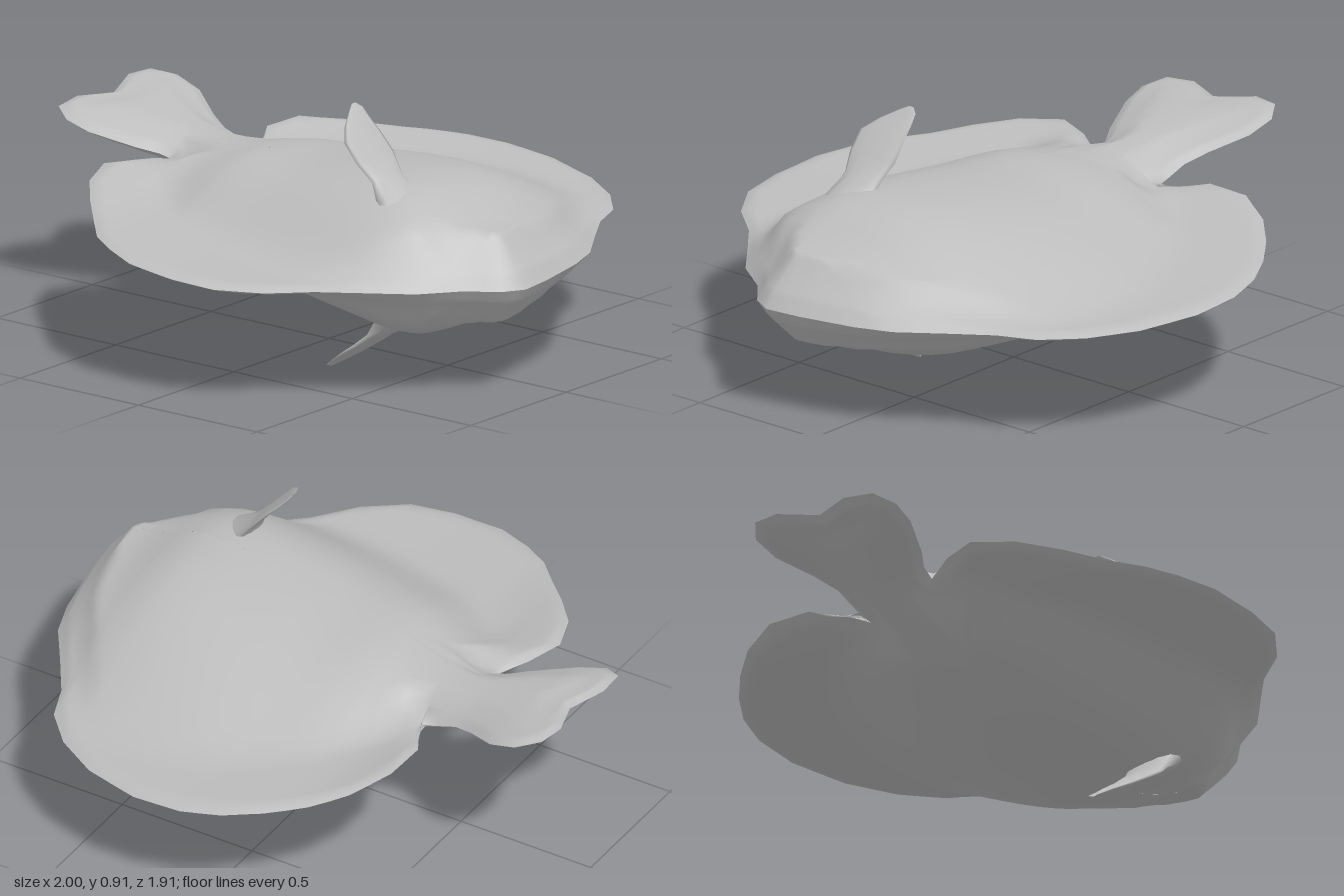
import * as THREE from 'three';

const skin = new THREE.MeshStandardMaterial({ color: 0xbdbdbd, side: THREE.DoubleSide });
skin.name = 'grey skin';

// Body outline as [x, z]: rear of the left lobe, round the mouth, to the rear of the other lobe
const rim = [
  [-.62, .23], [-.665, .355], [-.61, .5], [-.51, .62], [-.32, .82], [-.22, .88], [-.09, .935],
  [.1, .95], [.26, .93], [.4, .84], [.51, .71], [.62, .62], [.77, .5], [.86, .37], [.96, .285],
  [1, .21], [.985, .08], [.965, -.02], [.945, -.12], [.9, -.25], [.8, -.4], [.71, -.54],
  [.66, -.67], [.55, -.79], [.39, -.89], [.18, -.955], [0, -.96], [-.14, -.925], [-.26, -.86],
  [-.38, -.77], [-.48, -.67], [-.555, -.53], [-.56, -.37],
];
const tail = [
  [-.47, -.21], [-.61, -.215], [-.69, -.25], [-.81, -.325], [-.91, -.335], [-.985, -.285],
  [-1, -.19], [-.95, -.05], [-1, .08], [-.99, .19], [-.92, .235], [-.83, .23], [-.68, .17],
  [-.61, .13], [-.55, .12],
];

// Profiles along the fish, as [x, value]
const midKeys = [[-1, .67], [-.8, .61], [-.6, .55], [-.4, .49], [-.2, .465], [0, .445], [.4, .42], [1, .4]];
const topKeys = [[-1, .005], [-.8, .03], [-.6, .055], [-.4, .1], [-.2, .155], [0, .18], [.2, .215],
  [.45, .245], [.6, .235], [.78, .165], [.9, .145], [1, .14]];
const bottomKeys = [[-1, .005], [-.8, .03], [-.6, .05], [-.4, .08], [-.3, .11], [-.1, .15], [.1, .18],
  [.4, .205], [.6, .215], [.8, .135], [1, .13]];
const leftWidth = [[-1, .4], [-.5, .32], [-.2, .48], [.2, .56], [.6, .55], [1, .48]];
const rightWidth = [[-1, .45], [-.5, .36], [-.2, .65], [.2, .88], [.6, .85], [1, .65]];

// Smooth curve through the keys
function sample(keys, x) {
  const last = keys.length - 1;
  const slope = i => {
    const a = keys[Math.max(0, i - 1)], b = keys[Math.min(last, i + 1)];
    return (b[1] - a[1]) / (b[0] - a[0]);
  };
  let i = 0;
  while (i < last - 1 && x > keys[i + 1][0]) i++;
  const [x0, v0] = keys[i], [x1, v1] = keys[i + 1];
  const w = x1 - x0, t = clamp((x - x0) / w, 0, 1), s = 1 - t;
  return v0 * s * s * (1 + 2 * t) + v1 * t * t * (3 - 2 * t) + w * t * s * (slope(i) * s - slope(i + 1) * t);
}

const clamp = THREE.MathUtils.clamp, lerp = THREE.MathUtils.lerp;
const spineZ = x => .09 + .11 * x;

// Each outline point is paired with the point of the spine it leads to
const loop = [
  ...rim.map(([x, z]) => [x, z, clamp(x, -.25, .85)]),
  ...tail.map(([x, z]) => [x, z, clamp(x, -.85, -.4)]),
];

function edgeDistance(x, z) {
  let best = Infinity;
  loop.forEach(([ax, az], i) => {
    const [bx, bz] = loop[(i + 1) % loop.length];
    const dx = bx - ax, dz = bz - az;
    const t = clamp(((x - ax) * dx + (z - az) * dz) / (dx * dx + dz * dz), 0, 1);
    best = Math.min(best, Math.hypot(x - ax - t * dx, z - az - t * dz));
  });
  return best;
}

// Height of the upper (+1) or lower (-1) flank: plump along the spine, thin in the fins
function flankHeight(x, z, side) {
  const off = z - spineZ(x), d = edgeDistance(x, z);
  const u = Math.min(1, Math.abs(off) / sample(off > 0 ? leftWidth : rightWidth, x));
  const plump = Math.pow(1 - Math.pow(u, 2.5), 2) * Math.min(1, d / .12);
  const fringe = .015 * Math.min(1, d / .03);
  const twist = -.05 * z * clamp((-.5 - x) / .3, 0, 1);
  return sample(midKeys, x) + twist + side * (sample(side > 0 ? topKeys : bottomKeys, x) * plump + fringe);
}

// One flank: rings shrinking from the outline to the spine
function flank(side) {
  const outline = [];
  loop.forEach((a, i) => {
    const b = loop[(i + 1) % loop.length];
    for (const t of [0, .5]) outline.push(a.map((v, k) => lerp(v, b[k], t)));
  });
  const rings = 20, n = outline.length, pos = [], index = [];
  for (let r = 0; r <= rings; r++) {
    const t = Math.pow(r / rings, 1.3);
    for (const [ox, oz, sx] of outline) {
      const x = lerp(ox, sx, t), z = lerp(oz, spineZ(sx), t);
      pos.push(x, flankHeight(x, z, side), z);
    }
  }
  for (let r = 0; r < rings; r++) {
    for (let j = 0; j < n; j++) {
      const a = r * n + j, b = r * n + (j + 1) % n, c = a + n, d = b + n;
      if (side > 0) index.push(a, b, c, b, d, c);
      else index.push(a, c, b, b, c, d);
    }
  }
  return surface(pos, index);
}

function surface(pos, index) {
  const geo = new THREE.BufferGeometry();
  geo.setAttribute('position', new THREE.Float32BufferAttribute(pos, 3));
  geo.setIndex(index);
  geo.computeVertexNormals();
  return geo;
}

// Small fin lofted through stations [x, y, zMin, zMax, half thickness]
function fin(stations) {
  const n = 12, pos = [], index = [];
  stations.forEach(([x, y, z0, z1, h], i) => {
    const p = stations[Math.max(0, i - 1)], q = stations[Math.min(stations.length - 1, i + 1)];
    const dx = q[0] - p[0], dy = q[1] - p[1], len = Math.hypot(dx, dy);
    for (let j = 0; j < n; j++) {
      const a = j / n * Math.PI * 2, s = h * Math.sin(a) / len;
      pos.push(x - dy * s, y + dx * s, (z0 + z1) / 2 + (z1 - z0) / 2 * Math.cos(a));
    }
  });
  for (let i = 0; i < stations.length - 1; i++) {
    for (let j = 0; j < n; j++) {
      const a = i * n + j, b = i * n + (j + 1) % n;
      index.push(a, a + n, b, b, a + n, b + n);
    }
  }
  return surface(pos, index);
}

export function createModel() {
  const group = new THREE.Group();
  group.name = 'flatFish';
  const add = (name, geo) => {
    const mesh = new THREE.Mesh(geo, skin);
    mesh.name = name;
    group.add(mesh);
  };

  // Body, fin fringe and tail
  add('upperFlank', flank(1));
  add('lowerFlank', flank(-1));

  // Pectoral fins, swept back from the upper and lower flanks
  add('upperPectoralFin', fin([
    [.55, .57, .15, .39, .08], [.5, .64, .18, .36, .045], [.455, .695, .185, .34, .016],
    [.405, .755, .165, .36, .011], [.355, .815, .17, .36, .009], [.315, .855, .175, .31, .007],
    [.285, .89, .18, .25, .005], [.272, .905, .2, .22, .002],
  ]));
  add('lowerPectoralFin', fin([
    [.56, .3, .15, .4, .08], [.5, .22, .18, .37, .045], [.45, .17, .19, .365, .016],
    [.4, .13, .175, .38, .011], [.34, .09, .17, .375, .009], [.28, .05, .185, .345, .007],
    [.23, .02, .2, .3, .005], [.205, .002, .23, .25, .002],
  ]));
  return group;
}
